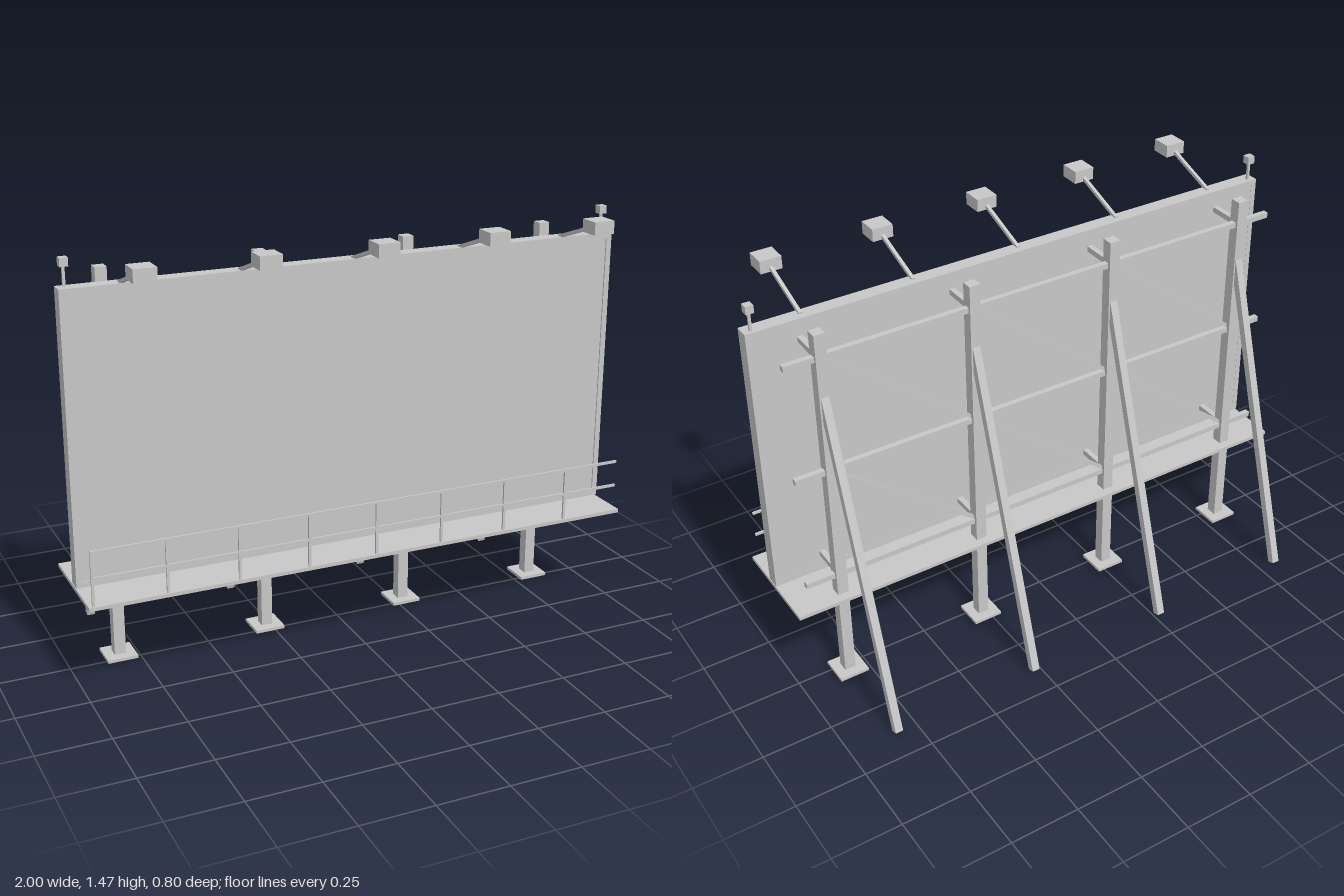
import * as THREE from 'three';

export function createModel() {
  const model = new THREE.Group();
  model.name = 'billboard';
  const grey = new THREE.MeshStandardMaterial({ color: 0xc7c7c7 });
  grey.name = 'painted steel grey';

  const box = (name, w, h, d, x, y, z) => {
    const m = new THREE.Mesh(new THREE.BoxGeometry(w, h, d), grey);
    m.name = name;
    m.position.set(x, y, z);
    model.add(m);
    return m;
  };

  // Square bar running between two points
  const bar = (name, a, b, w, d = w) => {
    const from = new THREE.Vector3(...a), to = new THREE.Vector3(...b);
    const dir = to.clone().sub(from);
    const mid = from.clone().add(to).multiplyScalar(0.5);
    const m = box(name, w, dir.length(), d, mid.x, mid.y, mid.z);
    m.quaternion.setFromUnitVectors(new THREE.Vector3(0, 1, 0), dir.normalize());
    return m;
  };

  // Display panel with a slim raised frame
  box('panel', 1.99, 0.99, 0.046, 0, 0.868, 0.127);
  for (const s of [-1, 1]) {
    box('frameSide', 0.02, 1, 0.052, s * 0.99, 0.868, 0.129);
    box('frameRail', 1.96, 0.02, 0.052, 0, 0.868 + s * 0.49, 0.129);
  }

  // Posts with feet, stand-offs and rear braces
  const postZ = -0.025;
  const postX = [-0.82, -0.273, 0.273, 0.82];
  const beamY = [0.44, 0.868, 1.297];
  for (const x of postX) {
    box('post', 0.04, 1.377, 0.04, x, 0.6985, postZ);
    box('footPlate', 0.108, 0.011, 0.108, x, 0.011, postZ);
    for (const y of [beamY[0], beamY[2]]) box('standOff', 0.02, 0.02, 0.13, x, y, 0.045);
    bar('rearBrace', [x, 0.004, -0.389], [x, 1.17, -0.027], 0.028);
  }

  // Horizontal beams and diagonal bracing in each bay
  for (const y of beamY) box('crossBeam', 1.89, 0.02, 0.02, 0, y, postZ);
  for (let i = 0; i < 3; i++) {
    for (let j = 0; j < 2; j++) {
      bar('diagonal', [postX[i], beamY[j], postZ], [postX[i + 1], beamY[j + 1], postZ], 0.012);
    }
  }

  // Catwalk with railing
  box('catwalk', 2, 0.013, 0.38, 0, 0.356, 0.112);
  for (let i = 0; i < 8; i++) {
    box('railPost', 0.009, 0.195, 0.007, -0.983 + i * 0.25, 0.457, 0.294);
  }
  for (const y of [0.55, 0.458]) box('handRail', 1.968, 0.009, 0.007, -0.003, y, 0.294);

  // Floodlights on angled arms
  for (let i = 0; i < 5; i++) {
    const x = -0.8 + i * 0.4;
    bar('lampArm', [x, 1.366, 0.13], [x, 1.442, 0.345], 0.012);
    box('lampHead', 0.076, 0.045, 0.074, x, 1.447, 0.365);
  }

  // Corner beacons
  for (const s of [-1, 1]) {
    box('beaconStem', 0.009, 0.075, 0.009, s * 0.973, 1.4, 0.12);
    box('beacon', 0.028, 0.028, 0.028, s * 0.973, 1.446, 0.12);
  }

  return model;
}
